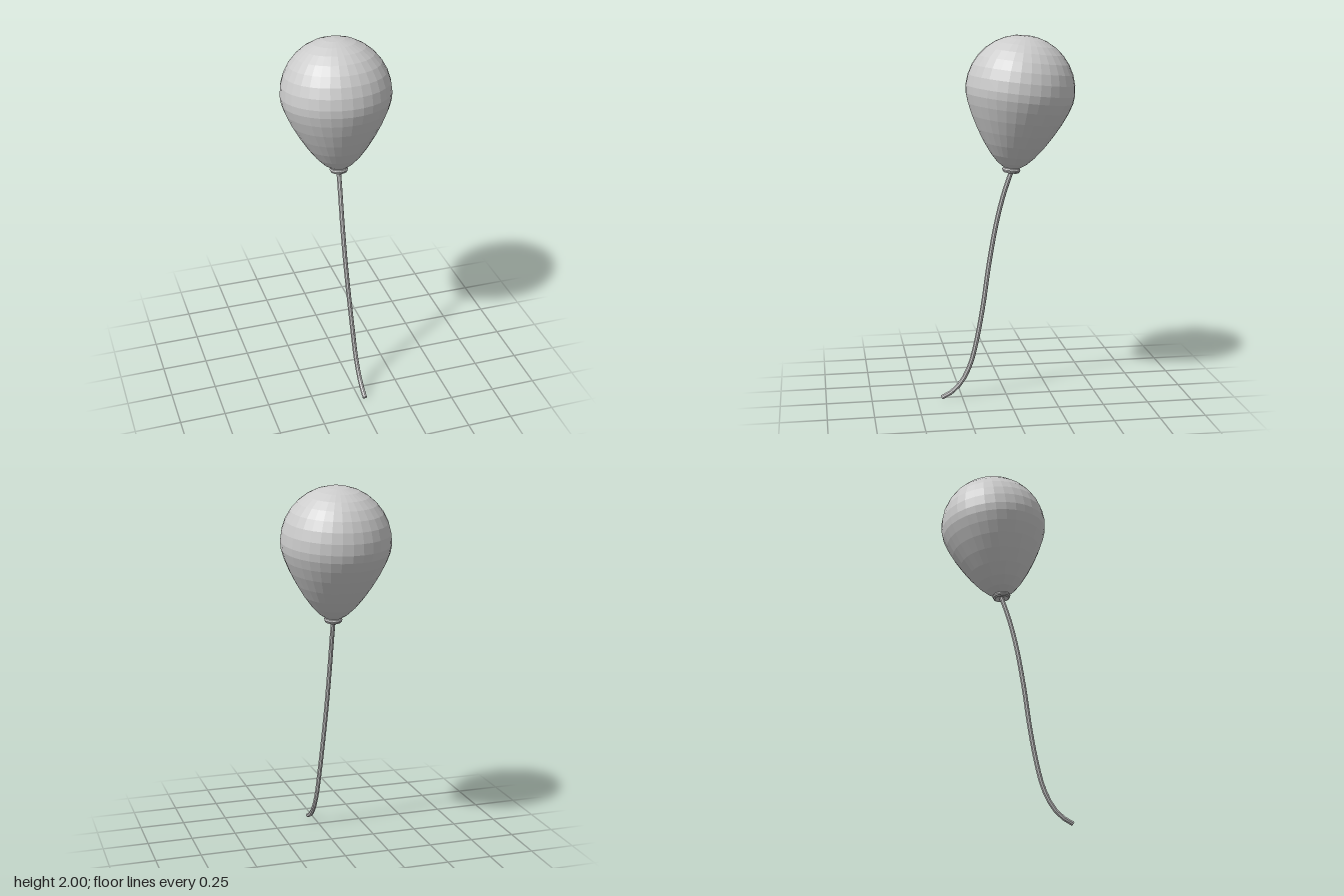
import * as THREE from 'three';

const grey = new THREE.MeshStandardMaterial({ color: 0xcccccc, flatShading: true, side: THREE.DoubleSide });

function addPart(parent, name, geometry) {
  const mesh = new THREE.Mesh(geometry, grey);
  mesh.name = name;
  parent.add(mesh);
  return mesh;
}

const lathe = (points, sides) =>
  new THREE.LatheGeometry(points.map(([r, y]) => new THREE.Vector2(r, y)), sides);

export function createModel() {
  const model = new THREE.Group();
  model.name = 'balloonOnString';

  // Balloon and collar share one axis, leaning slightly backwards
  const head = new THREE.Group();
  head.name = 'balloonHead';
  head.position.set(0, 1.272, -0.027);
  head.rotation.x = -0.112;
  model.add(head);

  // Tapered lower half, then a round cap
  const radius = 0.295, middle = 0.437;
  const profile = [
    [0, 0.01], [0.045, 0.018], [0.08, 0.042], [0.12, 0.083], [0.165, 0.143],
    [0.207, 0.21], [0.245, 0.28], [0.273, 0.343], [0.29, 0.395],
  ];
  for (let i = 0; i <= 8; i++) {
    const a = (i / 8) * Math.PI / 2;
    profile.push([i === 8 ? 0 : radius * Math.cos(a), middle + radius * Math.sin(a)]);
  }
  addPart(head, 'balloon', lathe(profile, 32));

  // Rolled collar with a flared lip under it
  const ring = addPart(head, 'collarRing', new THREE.TorusGeometry(0.039, 0.011, 8, 24));
  ring.rotation.x = Math.PI / 2;
  ring.position.y = 0.006;
  addPart(head, 'collarLip', lathe(
    [[0.013, -0.004], [0.038, -0.01], [0.044, -0.007], [0.04, 0.002], [0.02, 0.012]], 24));

  // Hanging string
  const path = new THREE.CatmullRomCurve3([
    [0, 1.285, -0.034], [-0.004, 1.155, 0.01], [-0.006, 1.0, 0.05], [-0.001, 0.76, 0.095],
    [0.011, 0.52, 0.132], [0.02, 0.335, 0.168], [0.025, 0.2, 0.204], [0.028, 0.11, 0.248],
    [0.029, 0.05, 0.3], [0.029, 0.013, 0.366],
  ].map((p) => new THREE.Vector3(...p)));
  const thickness = 0.013;
  addPart(model, 'string', new THREE.TubeGeometry(path, 24, thickness, 8));

  // Flat end of the string
  const cap = addPart(model, 'stringEnd', new THREE.CircleGeometry(thickness, 8));
  cap.position.copy(path.getPointAt(1));
  cap.lookAt(path.getPointAt(1).add(path.getTangentAt(1)));

  return model;
}
